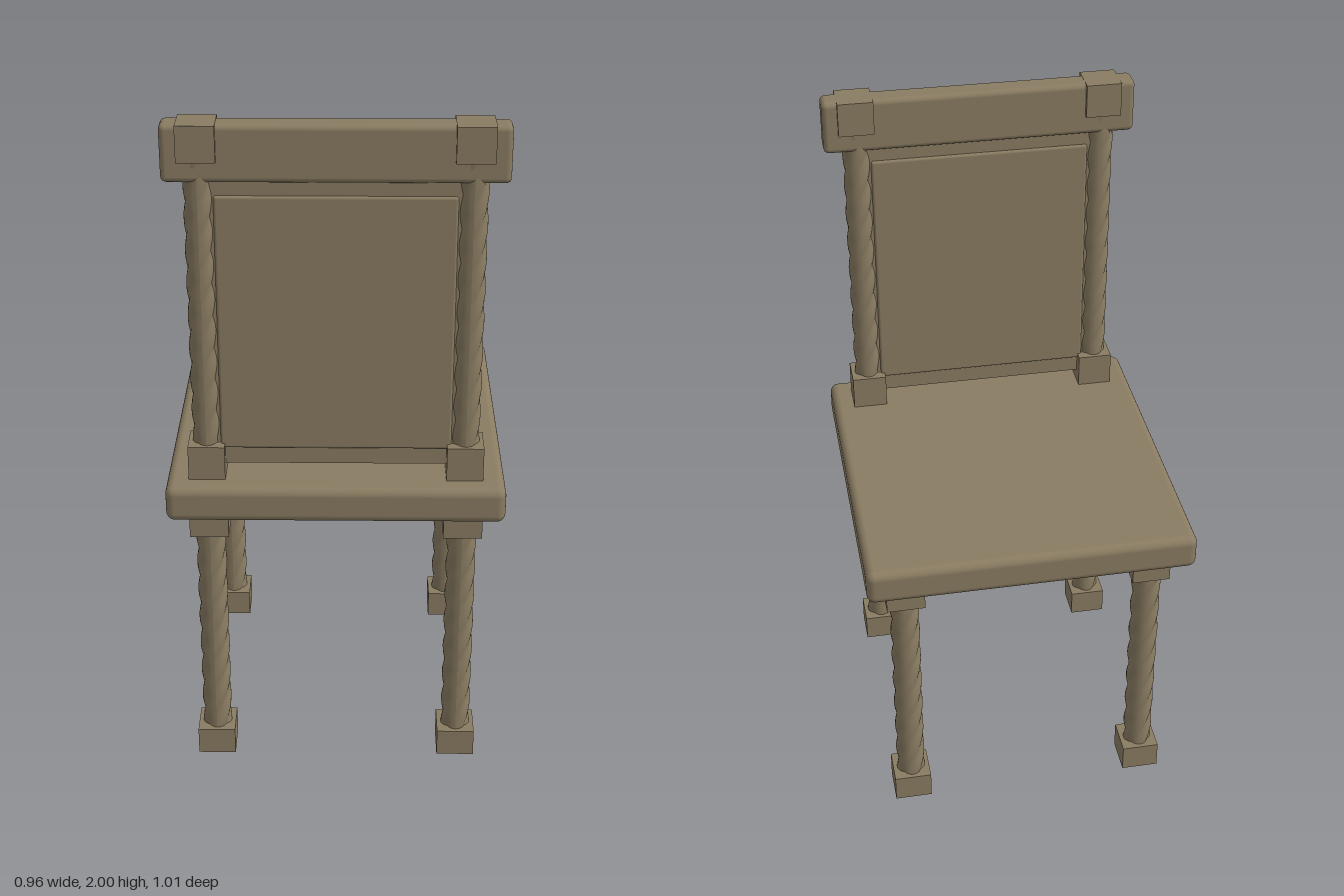
import * as THREE from 'three';
import { RoundedBoxGeometry } from 'three/addons/geometries/RoundedBoxGeometry.js';

export function createModel() {
  const chair = new THREE.Group();
  chair.name = 'chair';
  const wood = new THREE.MeshStandardMaterial({ color: 0x8a7c62 });
  wood.name = 'brownWood';

  function add(name, geometry, x, y, z) {
    const mesh = new THREE.Mesh(geometry, wood);
    mesh.name = name;
    mesh.position.set(x, y, z);
    chair.add(mesh);
  }

  // Box given by its bottom and top heights, rounded when r > 0
  function box(name, x, y0, y1, z, w, d, r = 0) {
    const h = y1 - y0;
    const geometry = r ? new RoundedBoxGeometry(w, h, d, 3, r) : new THREE.BoxGeometry(w, h, d);
    add(name, geometry, x, (y0 + y1) / 2, z);
  }

  // Four-stranded shaft, spiralling up to the right
  function twistedShaft(name, x, y0, y1, z, radius) {
    const h = y1 - y0;
    const geometry = new THREE.CylinderGeometry(1, 1, h, 24, Math.round(h / 0.012), true);
    const p = geometry.attributes.position;
    for (let i = 0; i < p.count; i++) {
      const angle = Math.atan2(p.getX(i), p.getZ(i));
      const turn = (p.getY(i) + h / 2) * Math.PI * 2 / 0.38;
      const lobe = Math.abs(Math.cos(2 * (angle - turn)));
      const r = radius * (0.83 + 0.17 * lobe);
      p.setXYZ(i, r * Math.sin(angle), p.getY(i), r * Math.cos(angle));
    }
    geometry.computeVertexNormals();
    add(name, geometry, x, (y0 + y1) / 2, z);
  }

  // Seat
  box('seat', 0, 0.855, 0.963, 0, 0.962, 1.014, 0.025);

  for (const side of [-1, 1]) {
    const x = side * 0.365;
    const label = side > 0 ? 'left' : 'right';

    // Legs with square feet and caps
    for (const z of [-0.386, 0.386]) {
      const leg = label + (z > 0 ? 'BackrestEnd' : 'OpenEnd');
      box(leg + 'Foot', x, 0, 0.085, z, 0.112, 0.112);
      twistedShaft(leg + 'Leg', x, 0.08, 0.78, z, 0.044);
      box(leg + 'LegCap', x, 0.77, 0.86, z, 0.112, 0.112);
    }

    // Backrest posts with square ends
    box(label + 'PostBase', x, 0.96, 1.065, 0.396, 0.104, 0.104);
    twistedShaft(label + 'Post', x, 1.06, 1.91, 0.396, 0.041);
    box(label + 'PostCap', x, 1.9, 2, 0.396, 0.104, 0.104);
  }

  // Top rail
  box('topRail', 0, 1.84, 1.999, 0.396, 0.922, 0.076, 0.016);

  // Backrest panel with a raised field on both faces
  box('backPanel', 0, 1.0, 1.85, 0.396, 0.68, 0.036);
  box('raisedField', 0, 1.05, 1.8, 0.396, 0.65, 0.052, 0.008);

  return chair;
}
